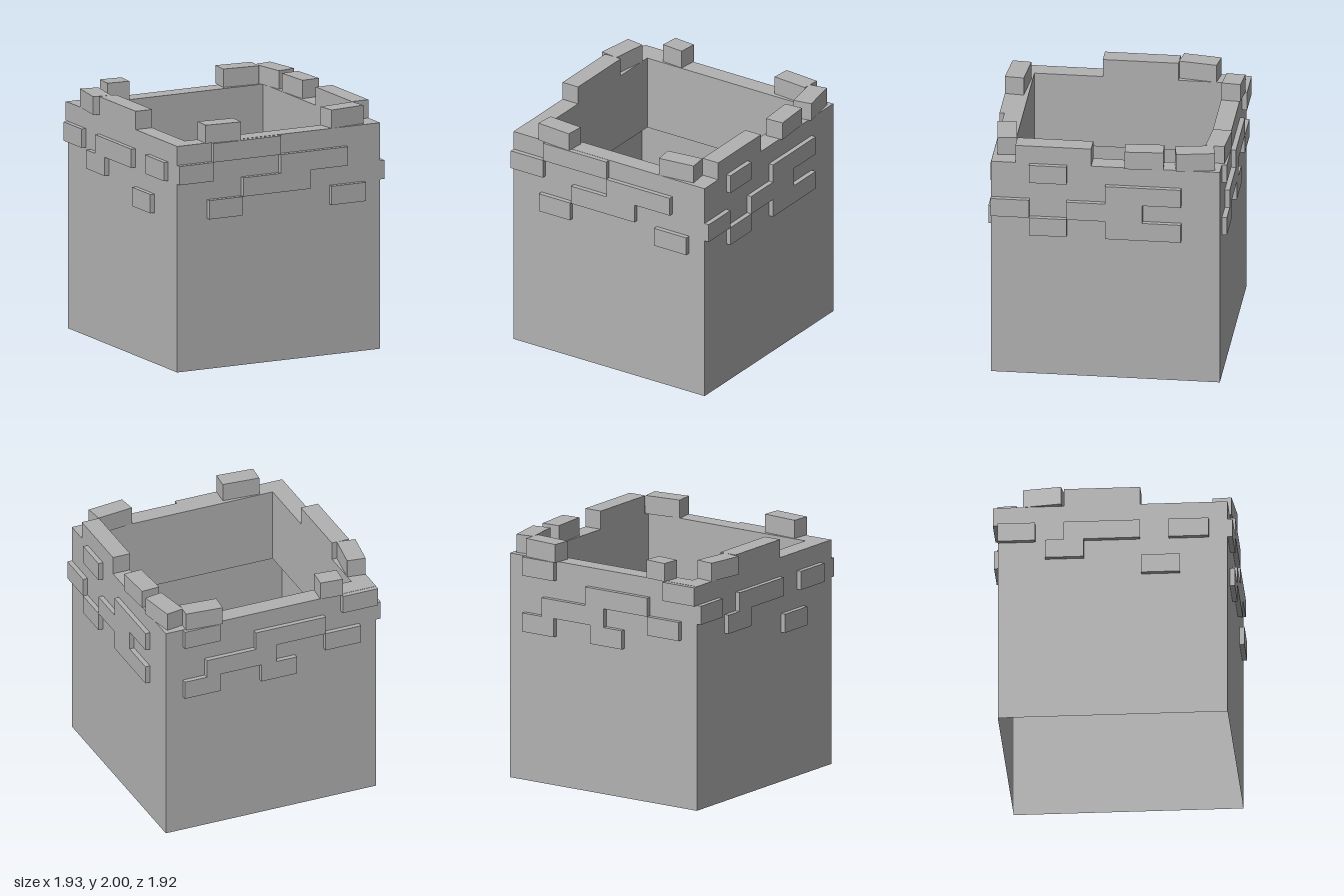
import * as THREE from 'three';

const OUT = 0.92, IN = 0.77, TOP = 1.85, ROW = 0.154, BASE = 1.232;
const stone = new THREE.MeshStandardMaterial({ color: 0xb2b2b2, side: THREE.DoubleSide });
stone.name = 'stone';

function add(parent, name, geometry) {
  const mesh = new THREE.Mesh(geometry, stone);
  mesh.name = name;
  parent.add(mesh);
  return mesh;
}

// Square sleeve of four flat walls, open above and below
function sleeve(half, y0, y1) {
  const g = new THREE.CylinderGeometry(half * Math.SQRT2, half * Math.SQRT2, y1 - y0, 4, 1, true)
    .rotateY(Math.PI / 4).translate(0, (y0 + y1) / 2, 0).toNonIndexed();
  g.computeVertexNormals();
  return g;
}

function square(half, Type) {
  return new Type([[-1, -1], [1, -1], [1, 1], [-1, 1]].map(([x, y]) => new THREE.Vector2(x * half, y * half)));
}

// Raised bricks per wall: [row from the bottom, start, end] along x or z
const bricks = {
  front: [[3, -0.61, 0], [2, -0.92, -0.61], [2, 0, 0.61], [1, -0.34, 0.27], [0, -0.65, -0.35], [0, 0.46, 0.77]],
  back: [[3, 0.46, 0.77], [3, -0.92, -0.61], [2, -0.46, 0.15], [1, -0.03, 0.58], [1, -0.77, -0.46],
    [0, 0.46, 0.77], [0, -0.21, 0.1]],
  left: [[3, 0.31, 0.61], [2, -0.61, 0], [1, 0.61, 0.92], [1, -0.3, 0.31], [0, 0.31, 0.61], [0, -0.61, 0]],
  right: [[2, -0.92, -0.62], [2, -0.39, 0.22], [2, 0.45, 0.77], [1, -0.54, -0.23], [0, 0.23, 0.54]],
};

// Loose stones on the rim: [x, z, length, turn]
const loose = [
  [-0.51, 0.87, 0.31, -0.08], [0.626, 0.825, 0.31, 0.125],
  [-0.53, -0.86, 0.19, -0.09], [0.59, -0.873, 0.31, -0.085],
  [0.84, -0.71, 0.31, -1.39], [0.858, -0.307, 0.31, -1.505], [-0.866, -0.553, 0.31, -1.72],
];

export function createModel() {
  const tower = new THREE.Group();
  tower.name = 'ruinedTower';

  // Thin outer shell, lining of the upper part and the flat rim joining them
  add(tower, 'outerWalls', sleeve(OUT, 0, TOP));
  add(tower, 'innerWalls', sleeve(IN, BASE, TOP));
  const rim = square(OUT, THREE.Shape);
  rim.holes.push(square(IN, THREE.Path));
  add(tower, 'rim', new THREE.ShapeGeometry(rim).rotateX(-Math.PI / 2).translate(0, TOP, 0));

  // Bricks standing proud of each wall
  const depth = 0.04;
  for (const [wall, list] of Object.entries(bricks)) {
    const group = new THREE.Group();
    group.name = wall + 'Bricks';
    tower.add(group);
    const alongX = wall === 'front' || wall === 'back';
    const side = (wall === 'front' || wall === 'left' ? 1 : -1) * (OUT + depth / 2);
    for (const [row, a, b] of list) {
      const y = BASE + (row + 0.5) * ROW, mid = (a + b) / 2;
      const brick = add(group, 'brick', alongX
        ? new THREE.BoxGeometry(b - a, ROW, depth)
        : new THREE.BoxGeometry(depth, ROW, b - a));
      brick.position.set(alongX ? mid : side, y, alongX ? side : mid);
    }
  }

  // Long raised pieces left on the side walls
  const h = 2 - TOP;
  for (const [x, z] of [[-0.845, -0.085], [0.845, 0.42]]) {
    add(tower, 'parapet', new THREE.BoxGeometry(OUT - IN, h, 0.61)).position.set(x, TOP + h / 2, z);
  }

  // Crooked stones along the rim
  for (const [x, z, length, turn] of loose) {
    const block = add(tower, 'looseStone', new THREE.BoxGeometry(length, h, 0.154));
    block.position.set(x, TOP + h / 2, z);
    block.rotation.y = turn;
  }
  return tower;
}
